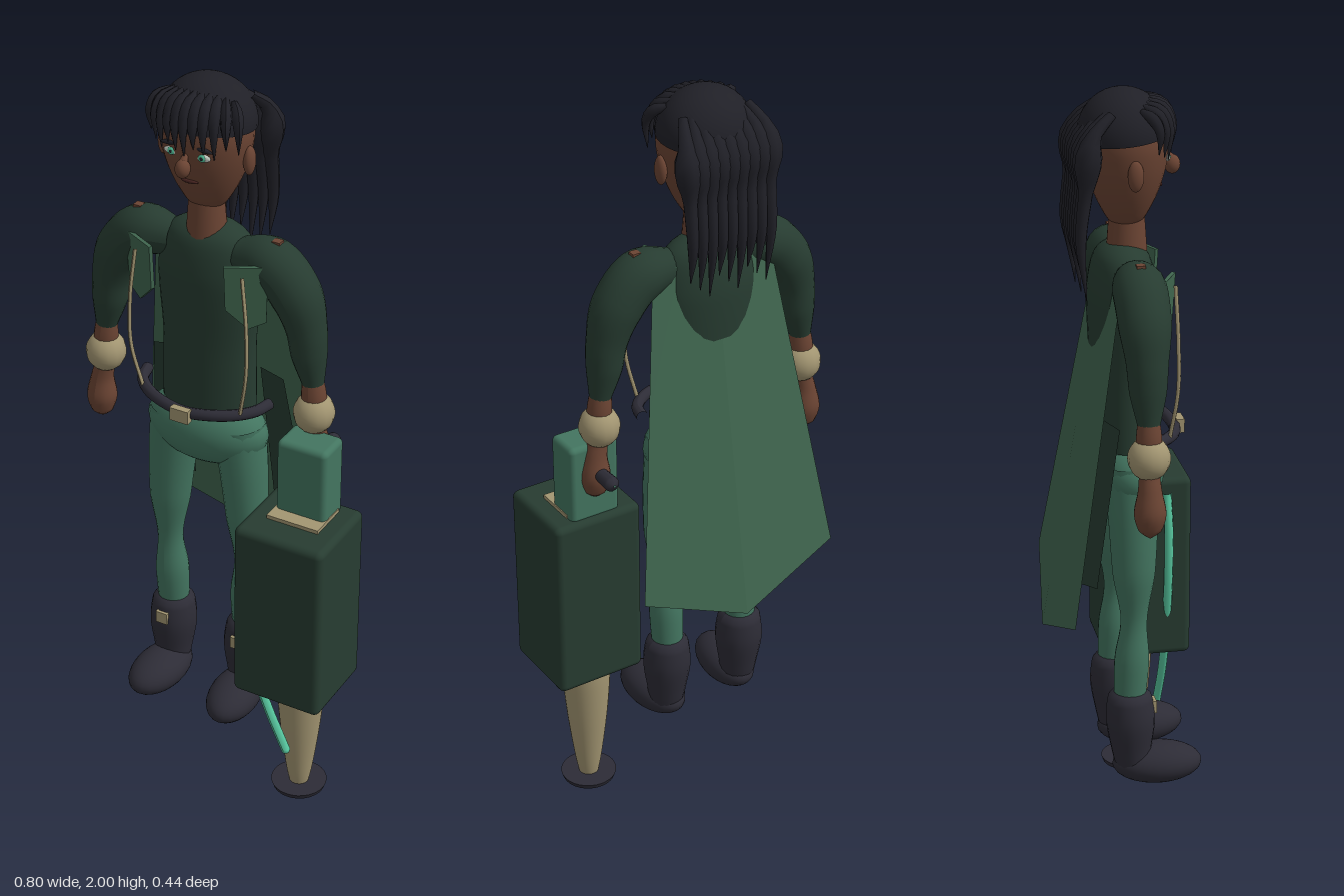
import * as THREE from 'three';
import { RoundedBoxGeometry } from 'three/addons/geometries/RoundedBoxGeometry.js';

const mat = (name, color, side = THREE.FrontSide) => {
  const m = new THREE.MeshStandardMaterial({ color, side });
  m.name = name;
  return m;
};

export function createModel() {
  const M = {
    skin: mat('skin', 0x6b4433),
    tunic: mat('dark green', 0x273c31, THREE.DoubleSide),
    cape: mat('cape green', 0x42684f, THREE.DoubleSide),
    pants: mat('trouser green', 0x437560),
    tan: mat('tan', 0xa39672),
    hair: mat('hair black', 0x202027),
    leather: mat('leather', 0x2d2c36),
    mint: mat('mint', 0x58c8a0),
    white: mat('eye white', 0xcfd6cc),
    lip: mat('lip', 0x4a2622),
  };
  M.cape.color.set(0x40664f);

  const add = (parent, name, geo, material, x = 0, y = 0, z = 0) => {
    const m = new THREE.Mesh(geo, material);
    m.name = name;
    m.position.set(x, y, z);
    parent.add(m);
    return m;
  };
  const ball = (parent, name, material, p, r, seg = 24) => {
    const m = add(parent, name, new THREE.SphereGeometry(1, seg, 16), material, ...p);
    m.scale.set(...r);
    return m;
  };
  const box = (parent, name, material, p, s) =>
    add(parent, name, new THREE.BoxGeometry(...s), material, ...p);
  // Tube whose radius follows the fourth value of each point
  const limb = (parent, name, material, pts, sides = 16, steps = 24) => {
    const curve = new THREE.CatmullRomCurve3(pts.map(p => new THREE.Vector3(p[0], p[1], p[2])));
    const radii = new THREE.CatmullRomCurve3(pts.map(p => new THREE.Vector3(p[3], 0, 0)));
    const geo = new THREE.TubeGeometry(curve, steps, 1, sides);
    const pos = geo.attributes.position, v = new THREE.Vector3();
    for (let i = 0; i <= steps; i++) {
      const c = curve.getPointAt(i / steps);
      const r = Math.max(radii.getPoint(curve.getUtoTmapping(i / steps)).x, 0.0005);
      for (let j = 0; j <= sides; j++) {
        const k = i * (sides + 1) + j;
        v.fromBufferAttribute(pos, k).sub(c).multiplyScalar(r).add(c);
        pos.setXYZ(k, v.x, v.y, v.z);
      }
    }
    geo.computeVertexNormals();
    return add(parent, name, geo, material);
  };
  // Vertical turned form, flattened in depth
  const turned = (parent, name, material, profile, depth, z = 0) => {
    const curve = new THREE.SplineCurve(profile.map(p => new THREE.Vector2(...p)));
    const pts = curve.getPoints(28).map(p => new THREE.Vector2(Math.max(p.x, 0), p.y));
    const m = add(parent, name, new THREE.LatheGeometry(pts, 32), material, 0, 0, z);
    m.scale.z = depth;
    return m;
  };
  // Flat cloth panel from a ring of corners
  const panel = (parent, name, material, corners) => {
    const geo = new THREE.BufferGeometry();
    geo.setAttribute('position', new THREE.Float32BufferAttribute(corners.flat(), 3));
    const idx = [];
    for (let i = 1; i < corners.length - 1; i++) idx.push(0, i, i + 1);
    geo.setIndex(idx);
    geo.computeVertexNormals();
    return add(parent, name, geo, material);
  };

  const model = new THREE.Group();
  const body = new THREE.Group();
  body.name = 'figure';
  body.position.x = -0.045;
  model.add(body);

  // Torso, hips and neck
  turned(body, 'tunic', M.tunic,
    [[0.13, 1.1], [0.128, 1.2], [0.128, 1.3], [0.137, 1.42], [0.136, 1.5], [0.11, 1.58], [0.05, 1.615], [0, 1.615]], 0.62, -0.01);
  ball(body, 'hips', M.pants, [0, 1.03, 0], [0.17, 0.1, 0.095]);
  add(body, 'neck', new THREE.CylinderGeometry(0.042, 0.052, 0.14, 20), M.skin, 0, 1.65, 0.003);

  // Head
  const head = new THREE.Group();
  head.name = 'head';
  body.add(head);
  turned(head, 'face', M.skin,
    [[0, 1.655], [0.04, 1.665], [0.07, 1.705], [0.096, 1.76], [0.113, 1.82], [0.117, 1.88], [0.095, 1.94], [0, 1.975]], 0.9);
  limb(head, 'nose', M.skin, [[0, 1.835, 0.1, 0.006], [0, 1.81, 0.115, 0.013], [0, 1.785, 0.108, 0.004]], 10, 8);
  ball(head, 'noseTip', M.skin, [0, 1.803, 0.116], [0.019, 0.024, 0.02]);
  const mouth = ball(head, 'mouth', M.lip, [0, 1.757, 0.084], [0.024, 0.006, 0.006]);
  mouth.rotation.x = 0.4;
  for (const s of [-1, 1]) {
    ball(head, 'ear', M.skin, [s * 0.118, 1.805, 0.003], [0.014, 0.038, 0.02]);
    ball(head, 'eye', M.white, [s * 0.042, 1.832, 0.094], [0.022, 0.01, 0.006]);
    ball(head, 'iris', M.mint, [s * 0.042, 1.832, 0.098], [0.01, 0.01, 0.004]);
    ball(head, 'pupil', M.hair, [s * 0.042, 1.832, 0.1015], [0.004, 0.004, 0.002]);
    const brow = ball(head, 'eyebrow', M.hair, [s * 0.045, 1.854, 0.097], [0.026, 0.006, 0.006]);
    brow.rotation.z = -s * 0.12;
  }

  // Hair cap, fringe and long back strands
  const cap = add(head, 'hairCap', new THREE.SphereGeometry(1, 32, 14, 0, Math.PI * 2, 0, Math.PI * 0.52), M.hair, 0, 1.885, -0.006);
  cap.scale.set(0.122, 0.113, 0.112);
  cap.rotation.x = -0.1;
  for (let i = 0; i < 11; i++) {
    const t = i / 5 - 1, x = t * 0.115, front = 0.106 - 0.05 * t * t;
    limb(head, 'fringeStrand', M.hair, [
      [x * 0.75, 1.975 - 0.02 * t * t, front * 0.4, 0.008],
      [x * 0.95, 1.955 - 0.015 * t * t, front * 0.85, 0.015],
      [x * 1.05, 1.91, front + 0.006, 0.012],
      [x * 1.04, 1.855 - (i % 3) * 0.012, front + 0.003, 0.001]], 7, 10);
  }
  for (let i = 0; i < 9; i++) {
    const t = i / 4 - 1, x = t * 0.112;
    limb(head, 'backStrand', M.hair, [
      [x * 0.8, 1.95, -0.05, 0.012],
      [x, 1.9, -0.1, 0.018],
      [x, 1.78, -0.116, 0.018],
      [x, 1.65, -0.13, 0.014],
      [x * 0.98, 1.5 + (i % 3) * 0.025, -0.116, 0.001]], 8, 16);
  }

  // Belt with buckle
  const arc = [];
  for (let i = 0; i <= 8; i++) {
    const a = Math.PI * i / 8;
    arc.push([0.178 * Math.cos(a), 1.13 + 0.012 * Math.abs(Math.cos(a)), 0.122 * Math.sin(a), 0.015]);
  }
  limb(body, 'belt', M.leather, arc, 12, 40);
  box(body, 'buckle', M.tan, [0, 1.13, 0.138], [0.052, 0.036, 0.02]);

  for (const s of [-1, 1]) {
    // Arms
    limb(body, 'sleeve', M.tunic, [
      [s * 0.09, 1.545, 0, 0.045], [s * 0.185, 1.54, 0, 0.067], [s * 0.248, 1.475, 0, 0.065],
      [s * 0.278, 1.39, 0, 0.052], [s * 0.287, 1.32, 0, 0.046], [s * 0.3, 1.24, 0, 0.028]], 20, 32);
    box(body, 'shoulderStud', M.skin, [s * 0.195, 1.603, 0], [0.022, 0.012, 0.022]);
    limb(body, 'forearm', M.skin, [
      [s * 0.298, 1.26, 0, 0.026], [s * 0.303, 1.2, 0, 0.032], [s * 0.308, 1.12, 0, 0.026],
      [s * 0.317, 1.075, 0, 0.03], [s * 0.32, 1.02, 0, 0.04], [s * 0.32, 0.975, 0, 0.028], [s * 0.32, 0.955, 0, 0.002]], 16, 30);
    ball(body, 'cuff', M.tan, [s * 0.304, 1.157, 0], [0.053, 0.055, 0.053], 14);

    // Legs and boots
    limb(body, 'trouserLeg', M.pants, [
      [s * 0.09, 1.06, 0, 0.07], [s * 0.105, 0.93, 0, 0.064], [s * 0.115, 0.78, 0, 0.055],
      [s * 0.117, 0.64, 0, 0.034], [s * 0.115, 0.53, -0.005, 0.045], [s * 0.115, 0.4, -0.012, 0.04]], 20, 30);
    limb(body, 'bootShaft', M.leather, [
      [s * 0.115, 0.455, -0.01, 0.03], [s * 0.115, 0.435, -0.01, 0.056], [s * 0.115, 0.37, -0.008, 0.064],
      [s * 0.115, 0.28, -0.005, 0.052], [s * 0.115, 0.23, 0, 0.045]], 18, 20);
    const foot = ball(body, 'bootFoot', M.leather, [s * 0.117, 0.237, 0.062], [0.068, 0.054, 0.117]);
    foot.rotation.y = s * 0.08;
    box(body, 'bootClasp', M.tan, [s * 0.115, 0.4, 0.05], [0.034, 0.034, 0.016]);

    // Cape half, inner lining and lapel
    panel(body, 'cape', M.cape, [
      [0, 1.57, -0.056], [s * 0.17, 1.56, -0.04], [s * 0.288, 0.71, -0.18], [0, 0.6, -0.218]]);
    panel(body, 'capeLining', M.tunic, [
      [s * 0.11, 1.19, -0.075], [s * 0.19, 1.19, -0.05], [s * 0.23, 0.79, -0.115], [s * 0.12, 0.76, -0.14]]);
    const lapel = new THREE.Shape([[0, 0.175], [0.108, 0.175], [0.1, 0.02], [0.055, 0], [0, 0.055]]
      .map(([x, y]) => new THREE.Vector2(s * x, y)));
    const flap = add(body, 'lapel', new THREE.ExtrudeGeometry(lapel, { depth: 0.01, bevelEnabled: false }), M.cape, s * 0.1, 1.385, 0.085);
    flap.rotation.set(0.06, s * 0.45, 0);

    // Thin cord from shoulder to belt
    limb(body, 'cord', M.tan, [
      [s * 0.15, 1.54, 0.095, 0.005], [s * 0.165, 1.4, 0.1, 0.005],
      [s * 0.165, 1.27, 0.1, 0.005], [s * 0.14, 1.14, 0.085, 0.005]], 6, 20);
  }

  // Heavy weapon standing by the left hand
  const gun = new THREE.Group();
  gun.name = 'weapon';
  gun.position.set(0.275, 0, 0.1);
  model.add(gun);
  add(gun, 'weaponBody', new RoundedBoxGeometry(0.25, 0.51, 0.236, 3, 0.018), M.tunic, 0, 0.645, 0);
  box(gun, 'topPlate', M.tan, [0, 0.903, -0.02], [0.145, 0.014, 0.115]);
  add(gun, 'upperBlock', new RoundedBoxGeometry(0.14, 0.22, 0.1, 3, 0.015), M.pants, 0, 1.0, -0.052);
  limb(gun, 'handle', M.leather, [
    [0, 1.035, -0.09, 0.018], [0, 1.035, -0.13, 0.018], [0, 1.035, -0.183, 0.02], [0, 1.035, -0.196, 0.003]], 14, 20);
  turned(gun, 'barrel', M.tan, [[0.022, 0.015], [0.035, 0.08], [0.053, 0.22], [0.063, 0.34], [0.064, 0.4]], 1, -0.03);
  add(gun, 'muzzleDisc', new THREE.CylinderGeometry(0.075, 0.07, 0.014, 28), M.leather, 0, 0.026, -0.03);
  add(gun, 'muzzleTip', new THREE.CylinderGeometry(0.025, 0.02, 0.02, 16), M.leather, 0, 0.01, -0.03);
  limb(gun, 'hose', M.mint, [
    [-0.125, 0.86, 0.05, 0.012], [-0.138, 0.77, 0.053, 0.012], [-0.137, 0.62, 0.053, 0.012],
    [-0.09, 0.42, 0.055, 0.012], [-0.05, 0.31, 0.055, 0.012], [0, 0.19, 0.05, 0.012]], 8, 30);
  ball(gun, 'hoseEnd', M.mint, [0, 0.19, 0.05], [0.012, 0.012, 0.012], 10);

  return model;
}
